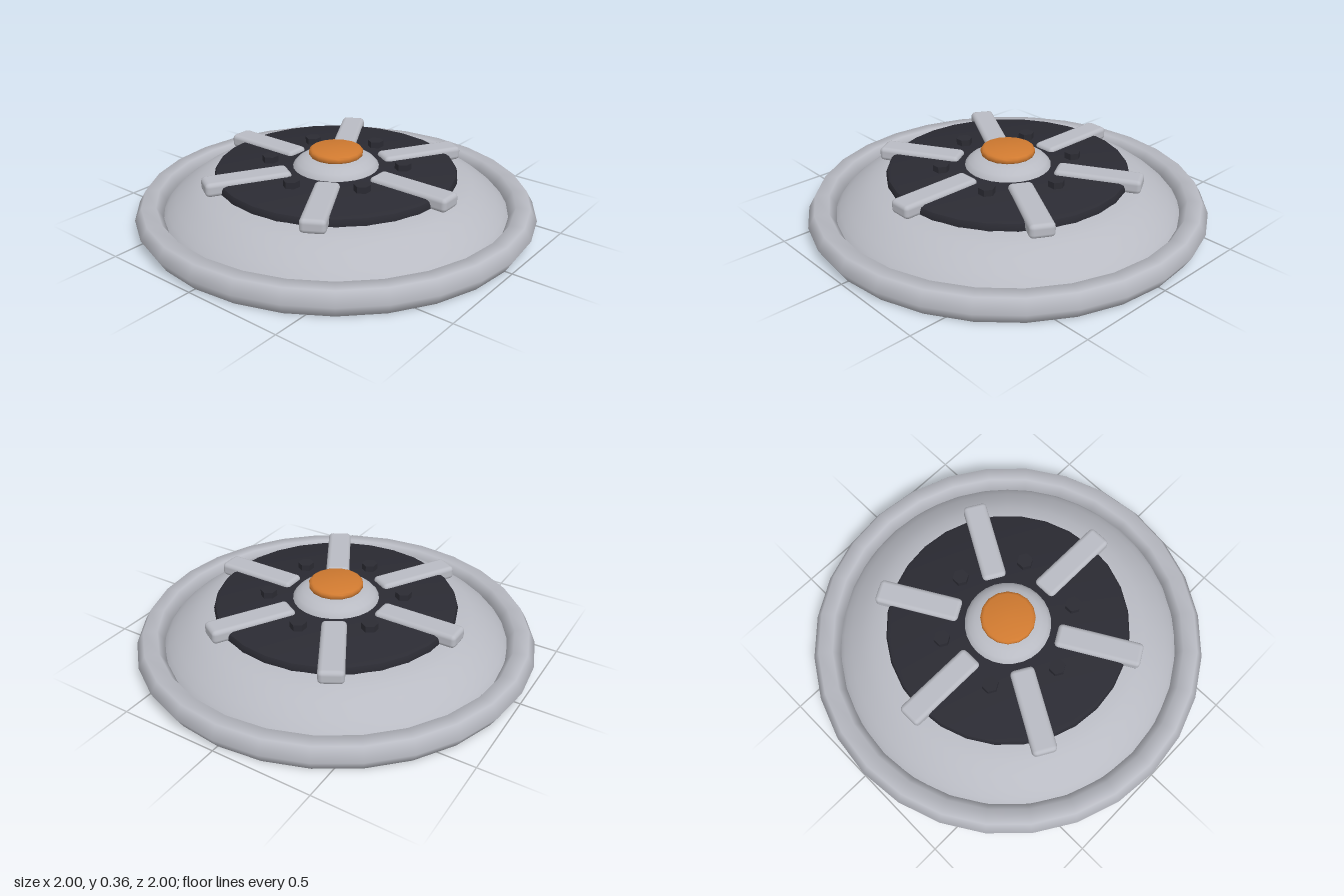
import * as THREE from 'three';
import { toCreasedNormals } from 'three/addons/utils/BufferGeometryUtils.js';
import { RoundedBoxGeometry } from 'three/addons/geometries/RoundedBoxGeometry.js';

export function createModel() {
  const model = new THREE.Group();
  model.name = 'roundHatch';

  const metal = new THREE.MeshStandardMaterial({ color: 0xb9bbc3 });
  metal.name = 'light grey metal';
  const dark = new THREE.MeshStandardMaterial({ color: 0x2b2b33 });
  dark.name = 'dark plate';
  const orange = new THREE.MeshStandardMaterial({ color: 0xd07a30 });
  orange.name = 'orange cap';

  const add = (name, geometry, material, x = 0, y = 0, z = 0) => {
    const mesh = new THREE.Mesh(geometry, material);
    mesh.name = name;
    mesh.position.set(x, y, z);
    model.add(mesh);
    return mesh;
  };
  // Turned part from [radius, height] pairs, listed from bottom to top
  const turned = (points, segments, crease) => {
    const g = new THREE.LatheGeometry(points.map(([r, y]) => new THREE.Vector2(r, y)), segments);
    return crease ? toCreasedNormals(g, crease) : g;
  };

  // Outer ring with a six-sided section
  const ring = new THREE.TorusGeometry(0.93, 0.07, 6, 28).rotateX(-Math.PI / 2);
  add('rim', ring, metal, 0, 0.0606, 0);

  // Shallow dome and its flat underside
  add('dome', turned([[0.885, 0.02], [0.865, 0.06], [0.84, 0.09], [0.8, 0.125], [0.74, 0.168],
    [0.68, 0.198], [0.6, 0.222], [0.4, 0.235], [0, 0.24]], 40), metal);
  add('underside', new THREE.CircleGeometry(0.885, 40).rotateX(Math.PI / 2), metal, 0, 0.02, 0);

  // Dark plate with a softened top edge
  add('darkPlate', turned([[0.58, 0.205], [0.605, 0.22], [0.605, 0.24], [0.598, 0.255],
    [0.58, 0.263], [0, 0.263]], 28, 0.7), dark);

  // Six spokes, with a hexagonal bolt between each pair
  for (let i = 0; i < 6; i++) {
    const a = (i * Math.PI) / 3;
    const spoke = add('spoke', new RoundedBoxGeometry(0.428, 0.07, 0.122, 2, 0.022), metal,
      0.461 * Math.cos(a), 0.249, -0.461 * Math.sin(a));
    spoke.rotation.y = a;

    const b = a + Math.PI / 6;
    const bolt = new THREE.CylinderGeometry(0.041, 0.041, 0.05, 6);
    add('bolt', toCreasedNormals(bolt, 0.7), dark, 0.335 * Math.cos(b), 0.27, -0.335 * Math.sin(b));
  }

  // Central hub and cap
  add('hub', turned([[0.217, 0.25], [0.213, 0.27], [0.195, 0.29], [0.165, 0.309],
    [0.12, 0.321], [0, 0.328]], 28), metal);
  add('cap', turned([[0.115, 0.315], [0.13, 0.32], [0.135, 0.327], [0.135, 0.342],
    [0.13, 0.35], [0.118, 0.355], [0, 0.355]], 16, 0.8), orange);

  return model;
}
